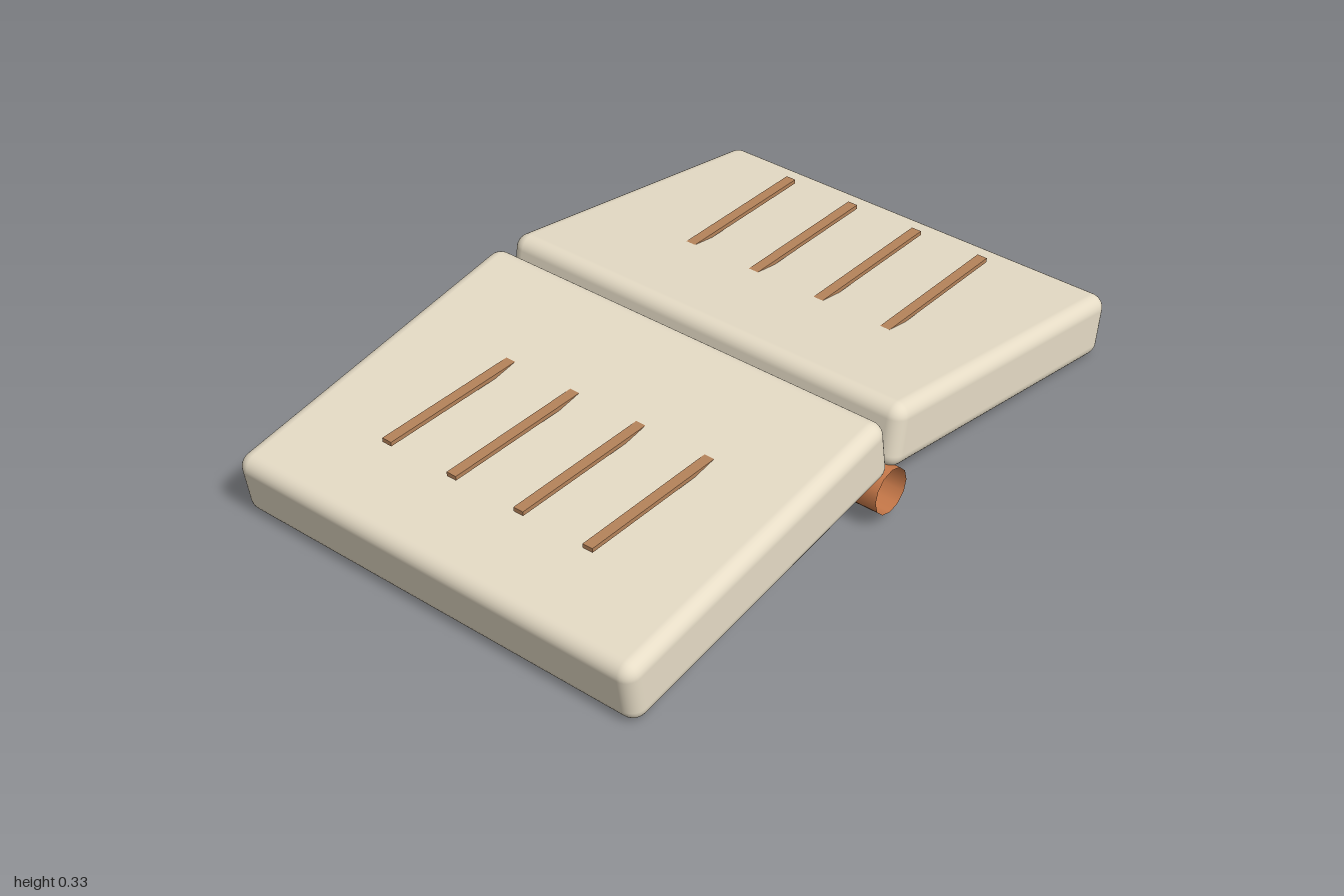
import * as THREE from 'three';
import { RoundedBoxGeometry } from 'three/addons/geometries/RoundedBoxGeometry.js';

const DEPTH = 1.29;
const TILT = 0.16;

export function createModel() {
  const model = new THREE.Group();
  model.name = 'openBook';

  const coverMaterial = new THREE.MeshStandardMaterial({ color: 0xe6dcc6 });
  const lineMaterial = new THREE.MeshStandardMaterial({ color: 0xb5835a });
  const spineMaterial = new THREE.MeshStandardMaterial({ color: 0xc97a4a, side: THREE.DoubleSide });

  const slabGeometry = new RoundedBoxGeometry(0.99, 0.182, DEPTH, 4, 0.04);
  const lineGeometry = new THREE.BoxGeometry(0.5, 0.012, 0.03);

  for (const [side, label] of [[1, 'left'], [-1, 'right']]) {
    // Rounded page block sloping down and away from the spine
    const slab = new THREE.Mesh(slabGeometry, coverMaterial);
    slab.name = label + 'PageBlock';
    slab.position.set(side * 0.502, 0.163, 0);
    slab.rotation.z = -side * TILT;
    model.add(slab);

    // Level strips whose inner ends sink into the page
    for (let i = 0; i < 4; i++) {
      const line = new THREE.Mesh(lineGeometry, lineMaterial);
      line.name = label + 'PageLine' + (i + 1);
      line.position.set(side * 0.557, 0.272, -0.295 + i * 0.2167);
      model.add(line);
    }
  }

  // Open tube under the gap between the blocks
  const spine = new THREE.Mesh(
    new THREE.CylinderGeometry(0.065, 0.065, DEPTH, 12, 1, true), spineMaterial);
  spine.name = 'spine';
  spine.rotation.x = Math.PI / 2;
  spine.position.y = 0.1;
  model.add(spine);

  return model;
}
